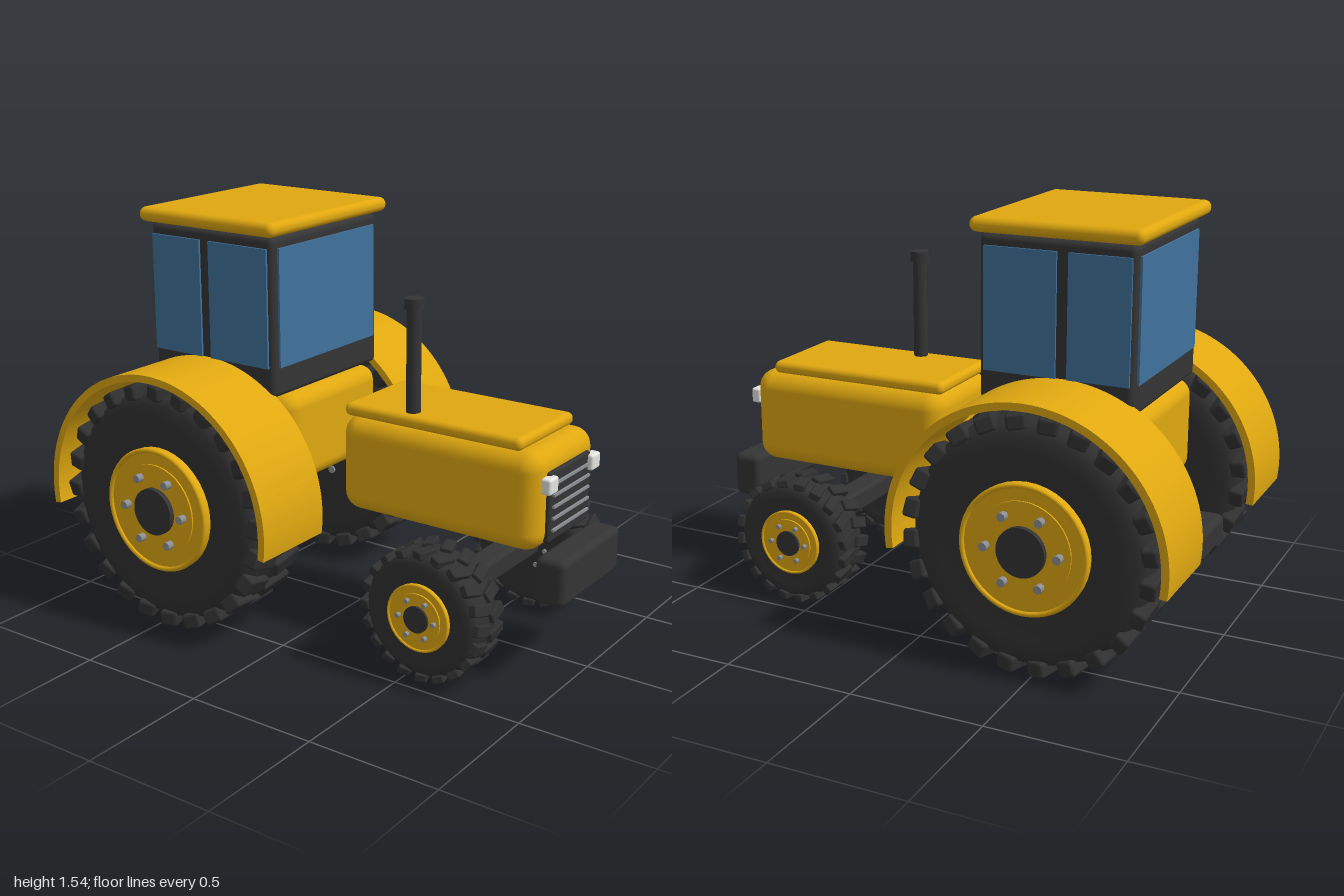
import * as THREE from 'three';
import { RoundedBoxGeometry } from 'three/addons/geometries/RoundedBoxGeometry.js';

const mat = (name, color, extra = {}) => {
  const m = new THREE.MeshStandardMaterial({ color, ...extra });
  m.name = name;
  return m;
};

export function createModel() {
  const model = new THREE.Group();
  model.name = 'tractor';

  const yellow = mat('yellowPaint', 0xe0a810);
  const dark = mat('darkFrame', 0x343434);
  const rubber = mat('rubber', 0x303030);
  const glass = mat('blueGlass', 0x40719c);
  const steel = mat('steel', 0x8c8f92);
  const lamp = mat('lampWhite', 0xe4e4e0);

  const add = (parent, name, geo, material, x = 0, y = 0, z = 0) => {
    const m = new THREE.Mesh(geo, material);
    m.name = name;
    m.position.set(x, y, z);
    parent.add(m);
    return m;
  };
  // Rounded box given by its limits on each axis
  const box = (name, material, [x0, x1], [y0, y1], [z0, z1], r) =>
    add(model, name, new RoundedBoxGeometry(x1 - x0, y1 - y0, z1 - z0, 4, r), material,
      (x0 + x1) / 2, (y0 + y1) / 2, (z0 + z1) / 2);
  // Cylinder lying along x between two limits
  const disc = (parent, name, material, r, x0, x1, y = 0, z = 0, seg = 40) => {
    const g = new THREE.CylinderGeometry(r, r, Math.abs(x1 - x0), seg);
    g.rotateZ(Math.PI / 2);
    return add(parent, name, g, material, (x0 + x1) / 2, y, z);
  };

  // Hood, rear body and nose
  box('hood', yellow, [-0.225, 0.225], [0.472, 0.838], [0.058, 0.885], 0.07);
  box('hoodTop', yellow, [-0.198, 0.198], [0.832, 0.88], [0.062, 0.805], 0.022);
  box('rearBody', yellow, [-0.287, 0.287], [0.525, 0.888], [-0.755, -0.115], 0.06);
  box('grille', dark, [-0.15, 0.15], [0.505, 0.765], [0.87, 0.9], 0.01);
  for (let i = 0; i < 5; i++)
    add(model, 'grilleBar', new THREE.BoxGeometry(0.265, 0.009, 0.012), steel, 0, 0.55 + i * 0.043, 0.903);
  for (const s of [-1, 1])
    add(model, 'headlight', new RoundedBoxGeometry(0.064, 0.06, 0.04, 3, 0.01), lamp, s * 0.157, 0.725, 0.9);
  box('frontWeight', dark, [-0.217, 0.217], [0.305, 0.478], [0.883, 1.0], 0.025);
  box('frontAxle', dark, [-0.32, 0.32], [0.245, 0.332], [0.52, 0.62], 0.015);
  box('hitch', dark, [-0.128, 0.128], [0.32, 0.43], [-0.945, -0.62], 0.025);

  // Exhaust stack
  add(model, 'exhaustPipe', new THREE.CylinderGeometry(0.027, 0.027, 0.42, 24), dark, -0.14, 1.06, 0.33);
  add(model, 'exhaustCap', new THREE.CylinderGeometry(0.036, 0.036, 0.04, 24), dark, -0.14, 1.28, 0.33);

  // Cab with window plates and roof
  box('cab', dark, [-0.33, 0.33], [0.885, 1.485], [-0.738, -0.158], 0.022);
  box('roof', yellow, [-0.367, 0.367], [1.49, 1.545], [-0.772, -0.13], 0.026);
  box('roofSeal', dark, [-0.3, 0.3], [1.47, 1.5], [-0.71, -0.19], 0.01);
  for (const [name, z] of [['frontWindow', -0.154], ['rearWindow', -0.742]])
    add(model, name, new THREE.BoxGeometry(0.595, 0.445, 0.009), glass, 0, 1.222, z);
  for (const s of [-1, 1])
    for (const [z0, z1] of [[-0.452, -0.178], [-0.725, -0.495]])
      add(model, 'sideWindow', new THREE.BoxGeometry(0.009, 0.445, z1 - z0), glass,
        s * 0.334, 1.222, (z0 + z1) / 2);

  // Fender: a thick arch over the rear wheel
  const a = 0.14;
  const arch = new THREE.Shape();
  arch.absarc(0, 0, 0.525, -a, Math.PI + a, false);
  arch.absarc(0, 0, 0.497, Math.PI + a, -a, true);
  const fenderGeo = new THREE.ExtrudeGeometry(arch, { depth: 0.344, bevelEnabled: false, curveSegments: 48 });
  fenderGeo.translate(0, 0, -0.172);
  fenderGeo.rotateY(Math.PI / 2);
  for (const s of [-1, 1]) add(model, 'fender', fenderGeo, yellow, s * 0.488, 0.475, -0.475);

  // Wheel: R is the tread radius, W the half width of the tyre, s the side
  const wheel = (name, s, x, y, z, o) => {
    const g = new THREE.Group();
    g.name = name;
    g.position.set(s * x, y, z);
    model.add(g);
    const { R, W, lugs, lugH } = o;
    const c = W * 0.35;
    const pts = [[0, -W * 0.9], [R * 0.6, -W * 0.9], [R * 0.75, -W], [R * 0.88, -W * 0.97], [R * 0.96, -W + c * 0.5],
      [R, -W + c * 1.4], [R, W - c * 1.4], [R * 0.96, W - c * 0.5], [R * 0.88, W * 0.97], [R * 0.75, W],
      [R * 0.6, W * 0.9], [0, W * 0.9]].map(([r, h]) => new THREE.Vector2(r, h));
    const tyre = new THREE.LatheGeometry(pts, 56);
    tyre.rotateZ(Math.PI / 2);
    add(g, 'tyre', tyre, rubber);

    // Two staggered rows of slanted tread lugs
    const pitch = (Math.PI * 2) / lugs;
    const h = R * 0.13;
    for (const row of [-1, 1])
      for (let i = 0; i < lugs; i++) {
        const geo = new RoundedBoxGeometry(W * 0.95, h, R * pitch * 0.6, 2, h * 0.2);
        geo.rotateY(row * 0.3);
        geo.translate(row * W * 0.54, R + lugH - h / 2, 0);
        geo.rotateX((i + (row > 0 ? 0.5 : 0)) * pitch);
        add(g, 'treadLug', geo, rubber);
      }

    // Rim, hub and bolts
    disc(g, 'rim', yellow, o.rim, 0, s * o.rimX);
    const lip = add(g, 'rimLip', new THREE.TorusGeometry(o.rim * 0.97, o.rim * 0.04, 8, 48), yellow, s * o.rimX);
    lip.rotation.y = Math.PI / 2;
    disc(g, 'rimPlate', yellow, o.rim * 0.75, 0, s * (o.rimX + 0.006));
    disc(g, 'hub', dark, o.hub, 0, s * o.hubX);
    for (let i = 0; i < 6; i++) {
      const t = (i * Math.PI) / 3;
      disc(g, 'bolt', steel, o.bolt, -s * (W * 0.9 + 0.008), s * o.boltX,
        Math.sin(t) * o.boltR, Math.cos(t) * o.boltR, 10);
    }
  };
  for (const s of [-1, 1]) {
    wheel('rearWheel', s, 0.49, 0.478, -0.475, {
      R: 0.45, W: 0.138, lugs: 24, lugH: 0.024, rim: 0.238, rimX: 0.152,
      hub: 0.09, hubX: 0.178, bolt: 0.016, boltR: 0.137, boltX: 0.185,
    });
    wheel('frontWheel', s, 0.385, 0.26, 0.575, {
      R: 0.23, W: 0.086, lugs: 20, lugH: 0.015, rim: 0.125, rimX: 0.09,
      hub: 0.049, hubX: 0.105, bolt: 0.009, boltR: 0.073, boltX: 0.112,
    });
  }
  return model;
}
